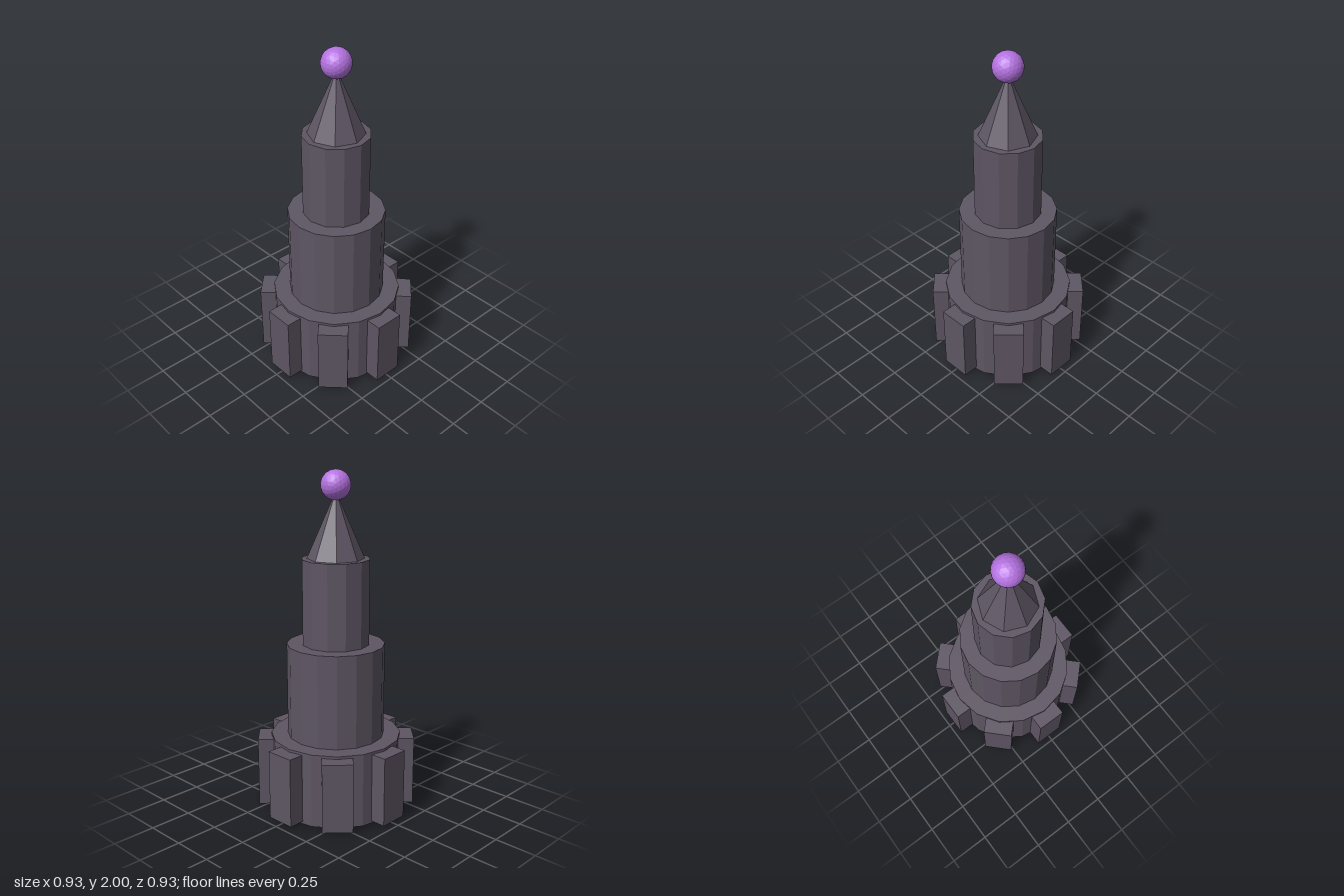
import * as THREE from 'three';

export function createModel() {
  const model = new THREE.Group();
  model.name = 'tower';

  const stone = new THREE.MeshStandardMaterial({ color: 0x5e5664, flatShading: true });
  stone.name = 'dark stone';
  const crystal = new THREE.MeshStandardMaterial({ color: 0xb472e0, flatShading: true });
  crystal.name = 'purple crystal';

  const add = (name, geometry, material, y, parent = model) => {
    const mesh = new THREE.Mesh(geometry, material);
    mesh.name = name;
    mesh.position.y = y;
    parent.add(mesh);
    return mesh;
  };

  // Stacked tiers: name, radius, bottom, top, sides
  const tiers = [
    ['base', 0.387, 0, 0.445, 16],
    ['middleTier', 0.288, 0.445, 1.0, 16],
    ['upperTier', 0.199, 1.0, 1.5, 12],
  ];
  for (const [name, r, y0, y1, sides] of tiers) {
    add(name, new THREE.CylinderGeometry(r, r, y1 - y0, sides), stone, (y0 + y1) / 2);
  }

  // Eight buttresses around the base
  const buttresses = new THREE.Group();
  buttresses.name = 'buttresses';
  model.add(buttresses);
  const block = new THREE.BoxGeometry(0.176, 0.415, 0.176);
  for (let i = 0; i < 8; i++) {
    const angle = (i * Math.PI) / 4;
    const mesh = add('buttress', block, stone, 0.222, buttresses);
    mesh.position.x = Math.sin(angle) * 0.376;
    mesh.position.z = Math.cos(angle) * 0.376;
    mesh.rotation.y = angle;
  }

  // Spire and its orb
  add('spire', new THREE.ConeGeometry(0.166, 0.38, 8), stone, 1.69);
  add('orb', new THREE.IcosahedronGeometry(0.0865, 3), crystal, 1.9135);

  return model;
}
